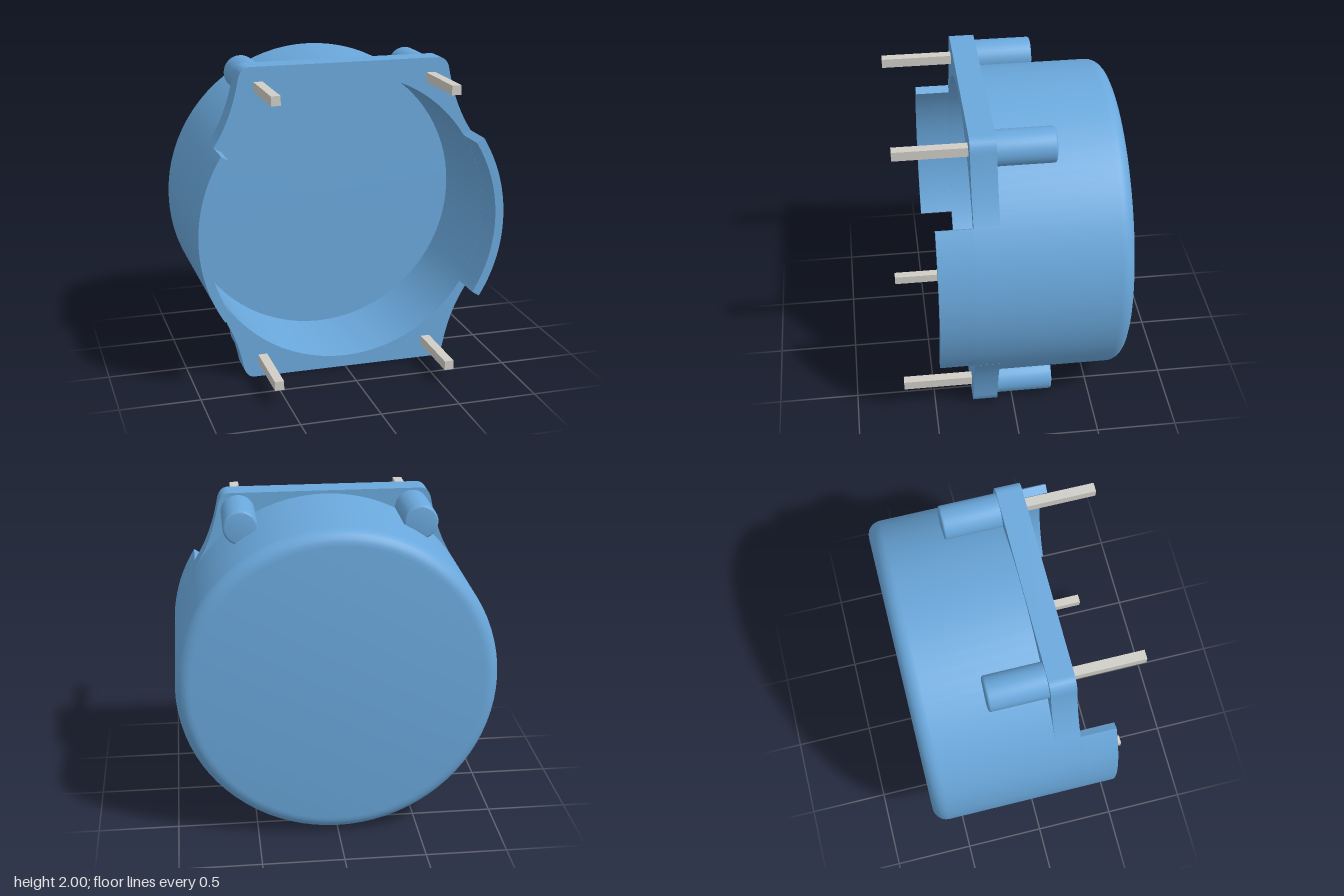
import * as THREE from 'three';
import { toCreasedNormals } from 'three/addons/utils/BufferGeometryUtils.js';

const R = 0.98, INNER = 0.925;          // wall radii
const BACK = -0.69, FLOOR = -0.38, RIM = 0.255;

const blue = new THREE.MeshStandardMaterial({ color: 0x6aa8dc });
const metal = new THREE.MeshStandardMaterial({ color: 0xcfcdc6 });

function part(name, geometry, material = blue) {
  const mesh = new THREE.Mesh(toCreasedNormals(geometry, 0.5), material);
  mesh.name = name;
  return mesh;
}

// Turn a profile of [radius, z] around the z axis
function turned(profile, segments) {
  const points = profile.map(([r, z]) => new THREE.Vector2(r, z));
  return new THREE.LatheGeometry(points, segments).rotateX(Math.PI / 2);
}

// Quarter-round edge from the back face to the side wall
function roundedEdge(radius, back, fillet, steps) {
  return Array.from({ length: steps + 1 }, (_, i) => {
    const a = (i / steps) * Math.PI / 2;
    return [radius - fillet + fillet * Math.sin(a), back + fillet - fillet * Math.cos(a)];
  });
}

function extruded(shape, z0, z1) {
  return new THREE.ExtrudeGeometry(shape, { depth: z1 - z0, bevelEnabled: false, curveSegments: 24 })
    .translate(0, 0, z0);
}

// Ear plate above the cup: flared sides, rounded corners, arc cut to fit the wall
function flangeShape() {
  const a = 0.57, r = 0.97;
  const x = R * Math.cos(a), y = R * Math.sin(a);
  const s = new THREE.Shape();
  s.moveTo(x, y);
  s.quadraticCurveTo(0.717, 0.697, 0.675, 0.92);
  s.quadraticCurveTo(0.66, 1, 0.60, 1);
  s.lineTo(-0.60, 1);
  s.quadraticCurveTo(-0.66, 1, -0.675, 0.92);
  s.quadraticCurveTo(-0.717, 0.697, -x, y);
  s.absarc(0, 0, r, Math.PI - a, a, true);
  return s;
}

// Raised piece of wall on one side of the rim
function tabShape() {
  const a = 0.56;
  const s = new THREE.Shape();
  s.absarc(0, 0, R, -a, a, false);
  s.absarc(0, 0, INNER, a, -a, true);
  return s;
}

export function createModel() {
  const model = new THREE.Group();
  model.name = 'roundHousing';
  const body = new THREE.Group();
  body.name = 'body';
  body.position.y = 1;
  model.add(body);

  // Cup, open at the front
  body.add(part('cup', turned([
    [0, BACK], ...roundedEdge(R, BACK, 0.09, 6),
    [R, RIM], [INNER, RIM], [INNER, FLOOR], [0, FLOOR],
  ], 80)));

  // Left and right rim tabs, upper and lower flanges
  for (const [i, side] of ['left', 'right'].entries()) {
    body.add(part(side + 'RimTab', extruded(tabShape(), RIM, 0.475).rotateZ(i * Math.PI)));
  }
  for (const [i, side] of ['upper', 'lower'].entries()) {
    body.add(part(side + 'Flange', extruded(flangeShape(), 0.1, RIM).rotateZ(i * Math.PI)));
  }

  // Post behind and square pin in front at each corner
  for (const sx of [1, -1]) {
    for (const sy of [1, -1]) {
      const corner = (sy > 0 ? 'upper' : 'lower') + (sx > 0 ? 'Left' : 'Right');
      const post = part(corner + 'Post', turned([
        [0, -0.255], ...roundedEdge(0.107, -0.255, 0.015, 4), [0.107, 0.11],
      ], 32));
      post.position.set(sx * 0.55, sy * 0.88, 0);
      const pin = part(corner + 'Pin', new THREE.BoxGeometry(0.058, 0.058, 0.455), metal);
      pin.position.set(sx * 0.55, sy * 0.88, 0.4675);
      body.add(post, pin);
    }
  }
  return model;
}
